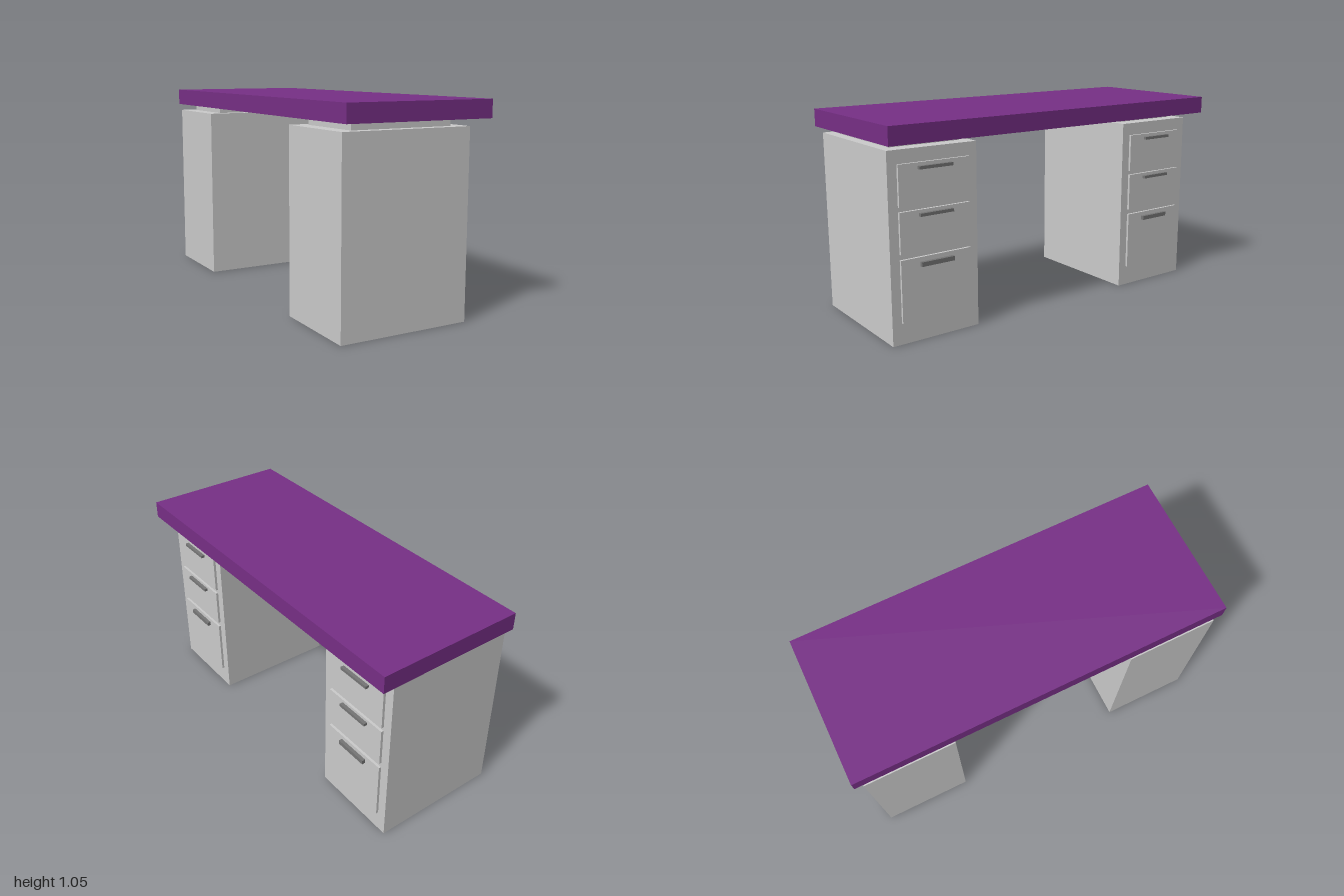
import * as THREE from 'three';

const grey = new THREE.MeshStandardMaterial({ color: 0xcccccc });
const purple = new THREE.MeshStandardMaterial({ color: 0x772f86 });
const darkGrey = new THREE.MeshStandardMaterial({ color: 0x767676 });

// Box given by its extents along each axis
function box(name, [x0, x1], [y0, y1], [z0, z1], material = grey) {
  const mesh = new THREE.Mesh(new THREE.BoxGeometry(x1 - x0, y1 - y0, z1 - z0), material);
  mesh.position.set((x0 + x1) / 2, (y0 + y1) / 2, (z0 + z1) / 2);
  mesh.name = name;
  return mesh;
}

// Vertical extents of each drawer front and its handle
const drawers = [
  { front: [0.665, 0.865], handle: [0.834, 0.849] },
  { front: [0.443, 0.643], handle: [0.613, 0.628] },
  { front: [0.108, 0.416], handle: [0.372, 0.394] },
];

// Cabinet with three drawers opening towards +x
function createPedestal() {
  const pedestal = new THREE.Group();
  pedestal.add(box('cabinet', [-0.391, 0.296], [0, 0.931], [-0.239, 0.239]));
  pedestal.add(box('topSpacer', [-0.315, 0.221], [0.931, 0.966], [-0.189, 0.189]));
  for (const { front, handle } of drawers) {
    const drawer = new THREE.Group();
    drawer.name = 'drawer';
    drawer.add(box('drawerFront', [0.296, 0.309], front, [-0.19, 0.19]));
    drawer.add(box('drawerHandle', [0.309, 0.327], handle, [-0.09, 0.09], darkGrey));
    pedestal.add(drawer);
  }
  return pedestal;
}

export function createModel() {
  const desk = new THREE.Group();
  desk.name = 'desk';
  desk.add(box('desktop', [-0.393, 0.393], [0.966, 1.055], [-1, 1], purple));

  // A pedestal at each end
  for (const [name, z] of [['frontPedestal', 0.723], ['backPedestal', -0.72]]) {
    const pedestal = createPedestal();
    pedestal.name = name;
    pedestal.position.z = z;
    desk.add(pedestal);
  }
  return desk;
}
